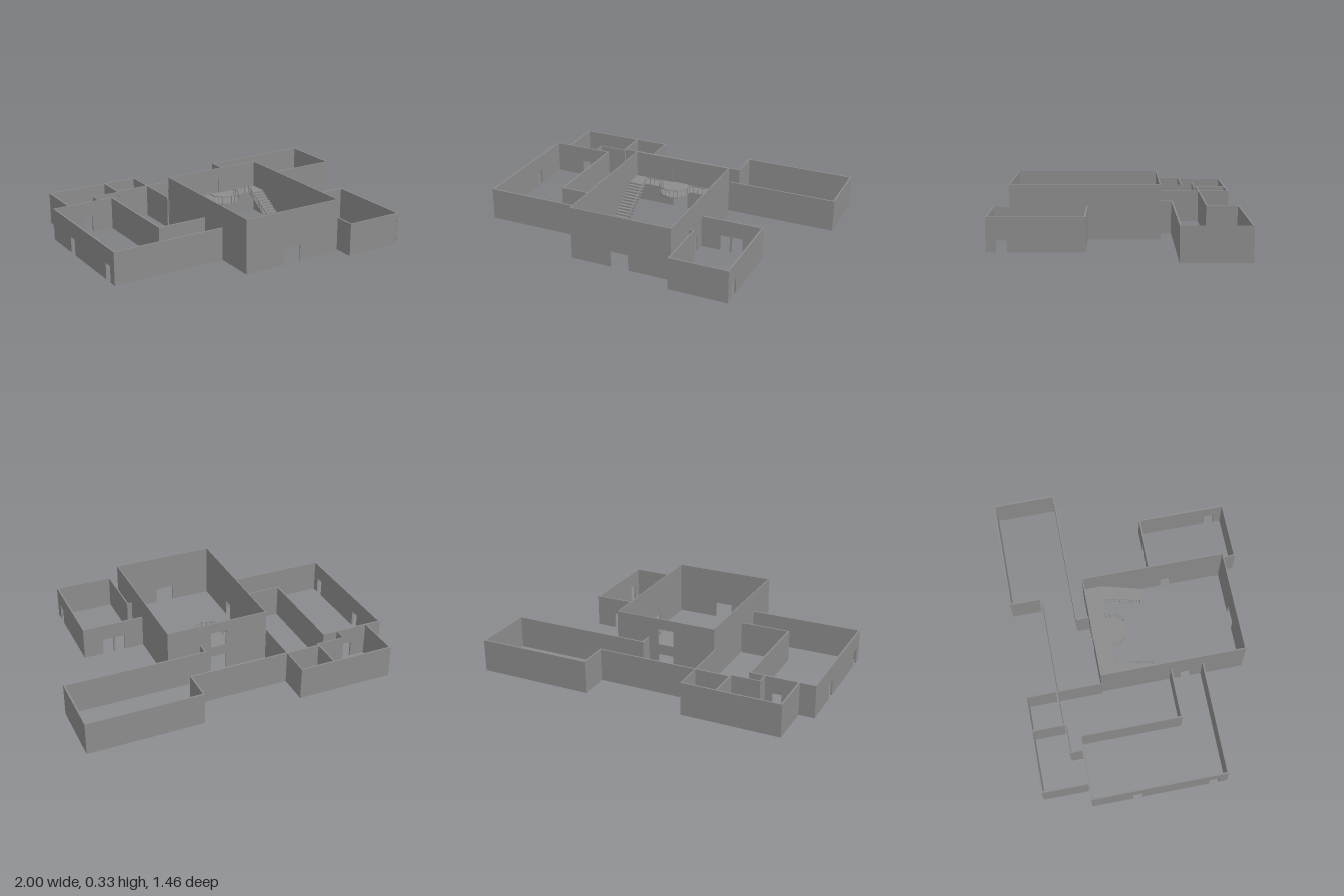
import * as THREE from 'three';

const wallGrey = new THREE.MeshStandardMaterial({ color: 0x8c8c8c, side: THREE.DoubleSide });
wallGrey.name = 'wall grey';

const LOW = 0.2, HIGH = 0.33, DOOR = 0.1, DECK = 0.165;

function add(parent, name, geometry, x = 0, y = 0, z = 0) {
  const mesh = new THREE.Mesh(geometry, wallGrey);
  mesh.name = name;
  mesh.position.set(x, y, z);
  parent.add(mesh);
  return mesh;
}

// Straight wall along 'x' or 'z' from a to b, with doorways cut from the ground
function wall(parent, name, axis, at, a, b, { h = LOW, t = 0.01, doors = [], upper = [] } = {}) {
  const s = new THREE.Shape();
  s.moveTo(a - t / 2, 0);
  for (const [p, q] of doors) {
    s.lineTo(p, 0);
    s.lineTo(p, DOOR);
    s.lineTo(q, DOOR);
    s.lineTo(q, 0);
  }
  s.lineTo(b + t / 2, 0);
  s.lineTo(b + t / 2, h);
  s.lineTo(a - t / 2, h);
  s.closePath();
  for (const [p, q, y0, y1] of upper) {
    s.holes.push(new THREE.Path([[p, y0], [p, y1], [q, y1], [q, y0]].map(c => new THREE.Vector2(...c))));
  }
  const g = new THREE.ExtrudeGeometry(s, { depth: t, bevelEnabled: false });
  g.translate(0, 0, -t / 2);
  const mesh = add(parent, name, g);
  if (axis === 'x') mesh.position.z = at;
  else {
    mesh.rotation.y = -Math.PI / 2;
    mesh.position.x = at;
  }
}

// Thin square bar between two points
function bar(parent, name, a, b, w = 0.003) {
  const mesh = add(parent, name, new THREE.BoxGeometry(w, w, a.distanceTo(b)));
  mesh.position.copy(a).add(b).multiplyScalar(0.5);
  mesh.lookAt(b);
}

// Handrail with balusters along a path
function railing(parent, name, points, posts, height = 0.045) {
  const up = new THREE.Vector3(0, height, 0);
  const group = new THREE.Group();
  group.name = name;
  parent.add(group);
  for (let i = 0; i < points.length - 1; i++) {
    const [a, b] = [points[i], points[i + 1]];
    bar(group, 'handrail', a.clone().add(up), b.clone().add(up), 0.005);
    const n = Math.max(1, Math.round(a.distanceTo(b) / posts));
    for (let k = 0; k <= n; k++) {
      const p = a.clone().lerp(b, k / n);
      add(group, 'baluster', new THREE.BoxGeometry(0.003, height, 0.003), p.x, p.y + height / 2, p.z);
    }
  }
}

// Folded flight of steps with matching stepped underside
function stairs(parent, name, x0, x1, z0, z1, rise) {
  const n = 14, dz = (z1 - z0) / n, dy = rise / n;
  const group = new THREE.Group();
  group.name = name;
  parent.add(group);
  for (let i = 0; i < n; i++) {
    const y = (i + 1) * dy, z = z1 - (i + 0.5) * dz, x = (x0 + x1) / 2;
    add(group, 'tread', new THREE.BoxGeometry(x1 - x0, 0.004, dz), x, y - 0.002, z);
    add(group, 'riser', new THREE.BoxGeometry(x1 - x0, dy, 0.003), x, y - dy / 2, z + dz / 2);
  }
}

export function createModel() {
  const model = new THREE.Group();
  model.name = 'building';
  const section = name => {
    const g = new THREE.Group();
    g.name = name;
    model.add(g);
    return g;
  };

  // Tall central hall
  const hall = section('mainHall');
  const tall = { h: HIGH, t: 0.007 };
  wall(hall, 'hallFrontWall', 'x', 0.627, -0.297, 0.334, { ...tall, doors: [[-0.043, 0.07]] });
  wall(hall, 'hallBackWall', 'x', -0.26, -0.301, 0.334,
    { ...tall, doors: [[-0.04, 0.06]], upper: [[-0.04, 0.06, DECK, DECK + DOOR]] });
  wall(hall, 'hallRightWall', 'z', -0.299, -0.26, 0.627, { ...tall, doors: [[0.24, 0.3]] });
  wall(hall, 'hallLeftWall', 'z', 0.334, -0.26, 0.627, { ...tall, doors: [[0.24, 0.3]] });

  // Balcony with rounded bulge
  const edge = [[-0.19, -0.16], [-0.065, -0.16], [-0.065, -0.1], [-0.03, -0.058], [0.025, -0.044],
    [0.075, -0.058], [0.112, -0.1], [0.112, -0.16], [0.23, -0.16]];
  const outline = [[-0.299, -0.26], [-0.299, -0.16], ...edge, [0.334, -0.16], [0.334, -0.26]];
  const deck = new THREE.ExtrudeGeometry(
    new THREE.Shape(outline.map(([x, z]) => new THREE.Vector2(x, -z))), { depth: 0.01, bevelEnabled: false });
  deck.rotateX(-Math.PI / 2);
  add(hall, 'balconyDeck', deck, 0, DECK - 0.01, 0);
  railing(hall, 'balconyRailing', edge.map(([x, z]) => new THREE.Vector3(x, DECK, z)), 0.03);

  // Two flights beside the hall walls
  for (const [side, x0, x1, inner] of [['right', -0.299, -0.19, -0.19], ['left', 0.23, 0.334, 0.23]]) {
    stairs(hall, side + 'Stairs', x0, x1, -0.16, 0.1, DECK);
    railing(hall, side + 'StairRailing',
      [new THREE.Vector3(inner, DECK, -0.16), new THREE.Vector3(inner, 0.01, 0.1)], 0.022);
  }

  // Long wing and its passage on the -x side
  const wing = section('rightWing');
  wall(wing, 'outerWall', 'z', -0.995, -0.445, 0.373, { doors: [[-0.2, -0.145], [0.27, 0.325]] });
  wall(wing, 'frontWall', 'x', 0.373, -0.995, -0.303);
  wall(wing, 'backWall', 'x', -0.445, -0.995, -0.608, { doors: [[-0.8, -0.745]] });
  wall(wing, 'innerWall', 'z', -0.608, -0.445, 0.175);
  wall(wing, 'passageWall', 'x', 0.175, -0.608, -0.303);

  // Rooms at the back on the -x side
  const rear = section('rearRooms');
  wall(rear, 'outerWall', 'z', -0.9, -0.725, -0.445);
  wall(rear, 'backWall', 'x', -0.725, -0.9, -0.313);
  wall(rear, 'dividingWall', 'z', -0.523, -0.725, -0.522);
  wall(rear, 'shortFrontWall', 'x', -0.522, -0.697, -0.523, { t: 0.007 });
  wall(rear, 'returnWall', 'z', -0.697, -0.522, -0.445, { t: 0.007 });
  wall(rear, 'innerWall', 'z', -0.311, -0.725, -0.264, { t: 0.007 });

  // Rear corridor leading to the long room on the +x side
  const corridor = section('rearCorridor');
  wall(corridor, 'corridorBackWall', 'x', -0.538, -0.523, 0.304);
  wall(corridor, 'stepWall', 'z', 0.304, -0.725, -0.538);
  wall(corridor, 'roomBackWall', 'x', -0.725, 0.304, 0.993);
  wall(corridor, 'roomEndWall', 'z', 0.995, -0.725, -0.34);
  wall(corridor, 'roomFrontWall', 'x', -0.34, 0.127, 0.995);
  wall(corridor, 'shortWall', 'z', 0.127, -0.34, -0.264);

  // Front room on the +x side
  const front = section('frontRoom');
  wall(front, 'backWall', 'x', 0.175, 0.338, 0.718, { doors: [[0.46, 0.52], [0.532, 0.6]] });
  wall(front, 'outerWall', 'z', 0.718, 0.175, 0.722, { doors: [[0.61, 0.67]] });
  wall(front, 'frontWall', 'x', 0.722, 0.365, 0.718, { t: 0.008 });
  wall(front, 'innerWall', 'z', 0.365, 0.366, 0.722, { t: 0.008 });
  wall(front, 'returnWall', 'x', 0.366, 0.338, 0.365, { t: 0.008 });

  return model;
}
